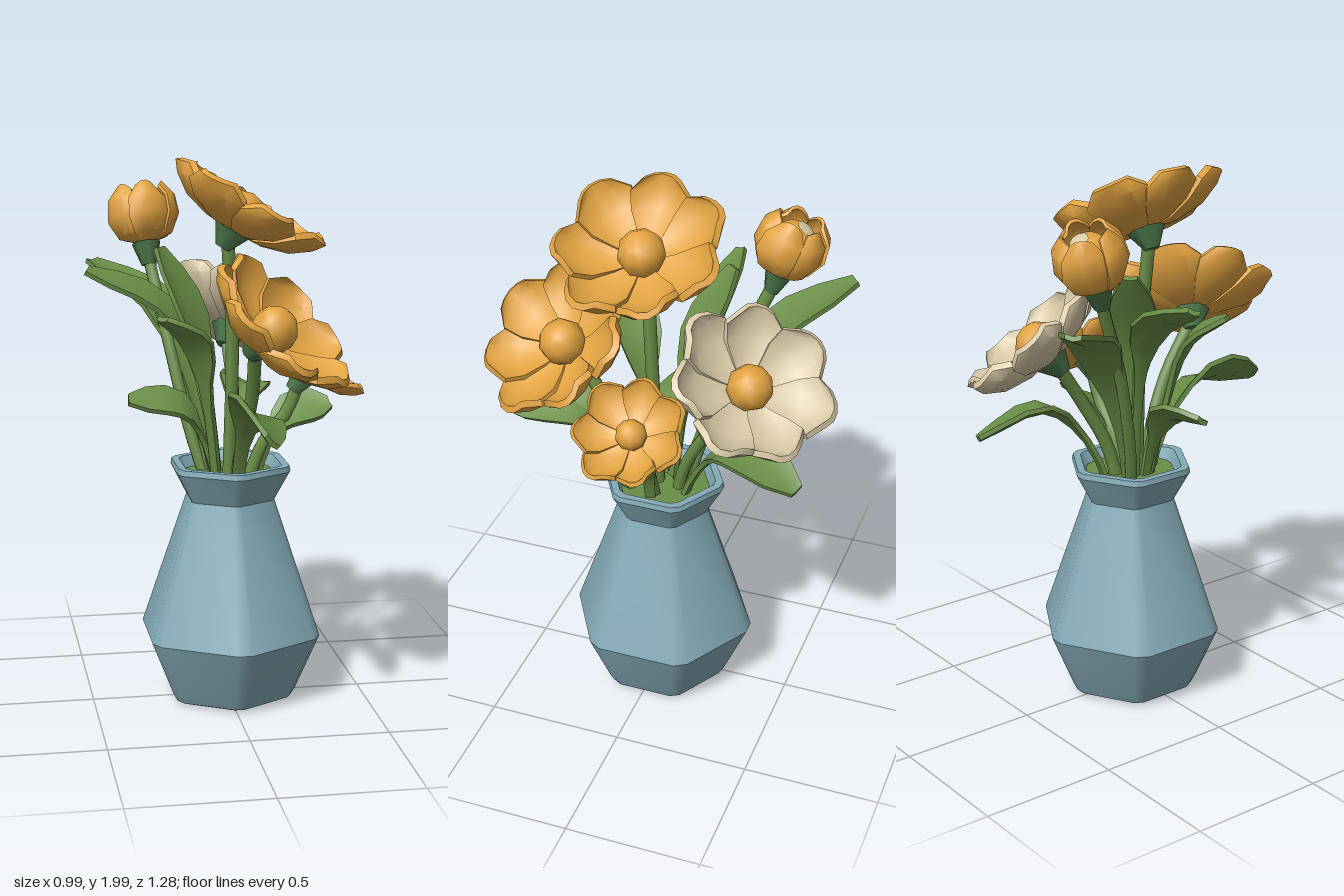
import * as THREE from 'three';
import { mergeVertices, toCreasedNormals } from 'three/addons/utils/BufferGeometryUtils.js';

const mat = (name, color) => {
  const m = new THREE.MeshStandardMaterial({ color });
  m.name = name;
  return m;
};
const V = (a) => new THREE.Vector3(...a);
const UP = new THREE.Vector3(0, 1, 0);

// Samples a row of evenly spaced values at t in 0..1
function sample(list, t) {
  const f = t * (list.length - 1), i = Math.min(Math.floor(f), list.length - 2);
  return THREE.MathUtils.lerp(list[i], list[i + 1], f - i);
}

// A segmented slab whose vertices are moved by rule(u -1..1, h -0.5..0.5, v 0..1)
function slab(nu, nv, crease, rule) {
  let g = new THREE.BoxGeometry(2, 1, 1, nu, 1, nv);
  g.deleteAttribute('uv');
  g.deleteAttribute('normal');
  g = mergeVertices(g);
  const p = g.attributes.position;
  for (let i = 0; i < p.count; i++) {
    const q = rule(p.getX(i), p.getY(i), p.getZ(i) + 0.5);
    p.setXYZ(i, q.x, q.y, q.z);
  }
  return toCreasedNormals(g, crease);
}

// Petal profiles: distance from axis, height, half angle
const OPEN = {
  r: [0.06, 0.38, 0.68, 0.89, 0.98], y: [-0.02, 0.02, 0.13, 0.28, 0.4],
  a: [0.5, 0.5, 0.52, 0.46, 0.24], thick: 0.085, roll: 0.025, puff: 0.05, notch: 0.05, drop: 0,
};
const CLOSED = {
  r: [0.15, 0.75, 0.98, 0.92, 0.6], y: [0.0, 0.25, 0.78, 1.3, 1.7],
  a: [0.66, 0.72, 0.72, 0.68, 0.5], thick: 0.1, roll: 0.05, puff: 0.06, notch: 0, drop: 0.12,
};

function petalGeometry(s, R) {
  return slab(4, 4, 0.8, (u, h, v) => {
    const lo = Math.max(0, v - 0.12), hi = Math.min(1, v + 0.12);
    const dr = sample(s.r, hi) - sample(s.r, lo), dy = sample(s.y, hi) - sample(s.y, lo);
    const len = Math.hypot(dr, dy);
    const off = h * s.thick + (s.roll * u - s.puff * (1 - u * u)) * Math.min(1, v * 2);
    const r = sample(s.r, v) - dy / len * off - s.notch * u * u * v;
    const y = sample(s.y, v) + dr / len * off - s.drop * u * u * v;
    const a = u * sample(s.a, v);
    return V([r * Math.sin(a), y, r * Math.cos(a)]).multiplyScalar(R);
  });
}

// Leaf: a narrow stalk opening into a folded, blunt blade along a curve
function leafGeometry(points, width, roll = 0) {
  const curve = new THREE.CatmullRomCurve3(points.map(V));
  const d = V(points[3]).sub(V(points[0]));
  const flat = new THREE.Vector3(d.z, 0, -d.x).normalize();
  const widths = [0.22, 0.22, 0.22, 0.25, 0.36, 0.72, 1, 1, 0.78, 0.3];
  return slab(2, 9, 0.6, (u, h, v) => {
    const T = curve.getTangent(v);
    const S = flat.clone().applyAxisAngle(T, -roll * v);
    const N = T.clone().cross(S).normalize();
    const w = width * sample(widths, v);
    return curve.getPoint(v).addScaledVector(S, u * w)
      .addScaledVector(N, h * 0.018 + 0.25 * w * (Math.abs(u) - 0.5));
  });
}

// Lathe with six flat sides and softly cut corners
function hexLathe(profile) {
  const g = new THREE.LatheGeometry(profile.map((p) => new THREE.Vector2(...p)), 12);
  const p = g.attributes.position;
  const rows = profile.length;
  for (let i = 0; i < p.count; i++) {
    const k = Math.floor(i / rows), r = profile[i % rows][0];
    const a = Math.floor(k / 2) * Math.PI / 3 + (k % 2 ? 0.08 : -0.08);
    p.setXYZ(i, r * Math.sin(a), p.getY(i), r * Math.cos(a));
  }
  g.deleteAttribute('normal');
  return toCreasedNormals(g, 0.62);
}

export function createModel() {
  const blue = mat('vase blue', 0x84abb8);
  const orange = mat('petal orange', 0xe2a341);
  const cream = mat('petal cream', 0xd8c8a6);
  const green = mat('leaf green', 0x6a8e47);
  const darkGreen = mat('sepal green', 0x4b7549);

  const model = new THREE.Group();
  model.name = 'vaseOfFlowers';
  const add = (parent, name, geo, m) => {
    const mesh = new THREE.Mesh(geo, m);
    mesh.name = name;
    parent.add(mesh);
    return mesh;
  };

  // Six-sided vase with a flared rim, and greenery filling its mouth
  const vase = add(model, 'vase', hexLathe([[0, 0], [0.21, 0], [0.235, 0.01], [0.252, 0.04], [0.342, 0.25],
    [0.168, 0.755], [0.228, 0.865], [0.224, 0.885], [0.195, 0.885], [0.14, 0.77], [0, 0.7]]), blue);
  vase.position.set(0.014, 0, -0.01);
  add(model, 'mouthFill', new THREE.CylinderGeometry(0.172, 0.15, 0.03, 12), green).position.set(0.014, 0.83, -0.01);

  // Flower heads, each with sepals and a stem into the vase
  const flowers = [
    { name: 'topFlower', base: [0.02, 1.75, 0.06], n: [0.51, 0.86, 0.02], R: 0.295, petal: orange, spin: 0.2 },
    { name: 'frontFlower', base: [0.08, 1.39, 0.32], n: [0.59, 0.7, 0.36], R: 0.292, petal: orange, spin: 0.2 },
    { name: 'smallFlower', base: [0.298, 1.21, 0], n: [0.64, 0.77, 0], R: 0.197, petal: orange, spin: 0.2 },
    { name: 'creamFlower', base: [0.073, 1.335, -0.33], n: [0.44, 0.74, -0.48], R: 0.29, petal: cream, spin: 0.65 },
    { name: 'bud', base: [-0.245, 1.655, -0.348], n: [-0.08, 0.94, -0.31], R: 0.122, petal: orange, spin: 0.2, closed: true },
  ];
  for (const f of flowers) {
    const n = V(f.n).normalize(), base = V(f.base);
    const head = new THREE.Group();
    head.name = f.name;
    head.position.copy(base);
    head.quaternion.setFromUnitVectors(UP, n);
    model.add(head);

    const petal = petalGeometry(f.closed ? CLOSED : OPEN, f.R);
    const count = f.closed ? 5 : 7;
    for (let i = 0; i < count; i++) {
      const mesh = add(head, 'petal', petal, f.petal);
      mesh.rotation.y = (i / count) * Math.PI * 2 + f.spin;
      mesh.scale.setScalar(1 + 0.03 * Math.sin(i * 2.3));
    }

    // Domed centre; the bud shows a pale cap between its petals
    const c = f.closed ? 0.09 : f.R * 0.29;
    const core = add(head, 'centre', new THREE.SphereGeometry(c, 9, 6), orange);
    core.position.y = f.closed ? 0.105 : f.R * 0.16;
    if (f.closed) {
      const cap = add(head, 'paleCap', new THREE.SphereGeometry(0.093, 10, 3, 0, Math.PI * 2, 0, 0.39), cream);
      cap.position.y = 0.105;
      cap.rotation.x = -0.3;
    }

    // Sepal cup
    const k = f.closed ? 0.055 : f.R * 0.27;
    add(head, 'sepals', new THREE.CylinderGeometry(k, 0.028, 0.085, 7), darkGreen).position.y = -0.045;

    // Stem
    const [x, y, z] = f.base;
    const path = new THREE.CatmullRomCurve3([
      new THREE.Vector3(x * 0.15, 0.72, z * 0.15),
      new THREE.Vector3(x * 0.45, 0.95, z * 0.3),
      new THREE.Vector3(x * 0.74, 0.92 + (y - 0.92) * 0.5, z * 0.58),
      base.clone().addScaledVector(n, -0.05),
    ]);
    add(model, f.name + 'Stem', new THREE.TubeGeometry(path, 12, 0.024, 6), green);
  }

  // Leaves: four path points, half width, roll
  const leaves = [
    [[[-0.02, 0.7, -0.02], [-0.1, 1.2, -0.06], [-0.22, 1.45, -0.1], [-0.49, 1.58, -0.13]], 0.072, 0.4],
    [[[-0.03, 0.7, -0.04], [-0.09, 1.05, -0.13], [-0.2, 1.42, -0.33], [-0.43, 1.56, -0.58]], 0.095],
    [[[-0.03, 0.7, 0.01], [-0.08, 0.95, 0.01], [-0.17, 1.1, 0.02], [-0.36, 1.13, 0.02]], 0.078, 0.6],
    [[[-0.03, 0.7, 0.02], [-0.08, 1.1, 0.08], [-0.14, 1.35, 0.14], [-0.26, 1.45, 0.21]], 0.08],
    [[[-0.02, 0.7, -0.02], [-0.06, 1.1, -0.05], [-0.11, 1.4, -0.09], [-0.22, 1.65, -0.19]], 0.085],
    [[[0.02, 0.7, 0.05], [0.03, 0.98, 0.16], [0.04, 1.14, 0.33], [0.05, 1.09, 0.61]], 0.105, 0.8],
    [[[0.09, 0.7, 0.01], [0.15, 0.95, 0], [0.25, 1.06, -0.02], [0.39, 1.085, -0.04]], 0.085, -0.7],
    [[[0.03, 0.7, -0.06], [0.07, 0.98, -0.17], [0.12, 1.12, -0.32], [0.18, 1.04, -0.56]], 0.095, -0.3],
  ];
  for (const [points, width, roll] of leaves) add(model, 'leaf', leafGeometry(points, width, roll), green);

  return model;
}
